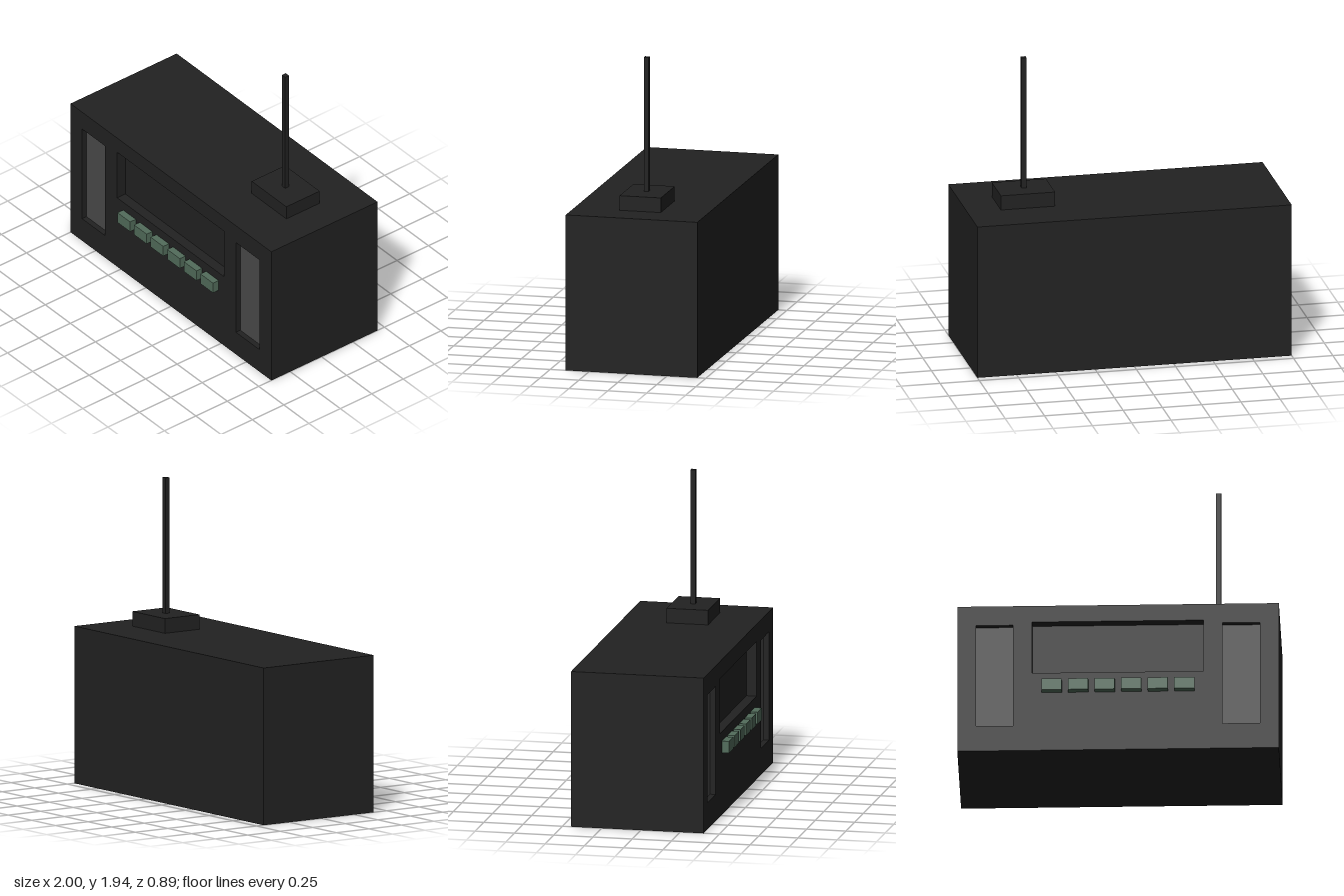
import * as THREE from 'three';

const dark = new THREE.MeshStandardMaterial({ name: 'black casing', color: 0x222222 });
const grey = new THREE.MeshStandardMaterial({ name: 'grey speaker cloth', color: 0x4a4a4a });
const green = new THREE.MeshStandardMaterial({ name: 'green buttons', color: 0x526c5b });

const FRONT = 0.4, BACK = -0.445, TOP = 0.99;

// Box from its minimum and maximum corners
function boxGeometry(x0, x1, y0, y1, z0, z1) {
  return new THREE.BoxGeometry(x1 - x0, y1 - y0, z1 - z0)
    .translate((x0 + x1) / 2, (y0 + y1) / 2, (z0 + z1) / 2);
}

// Box without its front (+z) face
function openFront(geometry) {
  const index = Array.from(geometry.index.array);
  index.splice(24, 6);
  geometry.setIndex(index);
  geometry.clearGroups();
  return geometry;
}

// Turn a geometry inside out, so it shows from within
function insideOut(geometry) {
  geometry.setIndex(Array.from(geometry.index.array).reverse());
  const normal = geometry.attributes.normal;
  for (let i = 0; i < normal.array.length; i++) normal.array[i] *= -1;
  return geometry;
}

function rectangle(path, x0, x1, y0, y1) {
  path.moveTo(x0, y0);
  path.lineTo(x1, y0);
  path.lineTo(x1, y1);
  path.lineTo(x0, y1);
  path.closePath();
  return path;
}

export function createModel() {
  const model = new THREE.Group();
  model.name = 'radio';
  const add = (name, geometry, material) => {
    const mesh = new THREE.Mesh(geometry, material);
    mesh.name = name;
    model.add(mesh);
  };

  // Casing: five outer faces, and a front face with cut-outs
  add('casing', openFront(boxGeometry(-1, 1, 0, TOP, BACK, FRONT)), dark);
  const recesses = [
    { name: 'rightSpeaker', x0: -0.885, x1: -0.655, y0: 0.17, y1: 0.86, depth: 0.035, floor: grey },
    { name: 'leftSpeaker', x0: 0.648, x1: 0.882, y0: 0.17, y1: 0.86, depth: 0.035, floor: grey },
    { name: 'display', x0: -0.535, x1: 0.53, y0: 0.53, y1: 0.88, depth: 0.065, floor: dark },
  ];
  const face = rectangle(new THREE.Shape(), -1, 1, 0, TOP);
  for (const r of recesses) face.holes.push(rectangle(new THREE.Path(), r.x0, r.x1, r.y0, r.y1));
  add('frontPanel', new THREE.ShapeGeometry(face).translate(0, 0, FRONT), dark);

  // Sunken speakers and display: dark side walls and a coloured floor
  for (const r of recesses) {
    const walls = openFront(boxGeometry(r.x0, r.x1, r.y0, r.y1, FRONT - r.depth, FRONT));
    walls.setIndex(Array.from(walls.index.array).slice(0, 24));
    add(r.name + 'Walls', insideOut(walls), dark);
    const floor = new THREE.PlaneGeometry(r.x1 - r.x0, r.y1 - r.y0)
      .translate((r.x0 + r.x1) / 2, (r.y0 + r.y1) / 2, FRONT - r.depth);
    add(r.name, floor, r.floor);
  }

  // Row of push buttons
  for (let i = 0; i < 6; i++) {
    const x = -0.475 + i * 0.165;
    add('button' + (i + 1), boxGeometry(x, x + 0.125, 0.395, 0.47, FRONT, 0.445), green);
  }

  // Aerial on its base block
  add('aerialBase', boxGeometry(0.442, 0.787, TOP, 1.083, -0.155, 0.11), dark);
  add('aerial', boxGeometry(0.598, 0.63, 1.083, 1.937, -0.036, -0.006), dark);

  return model;
}
